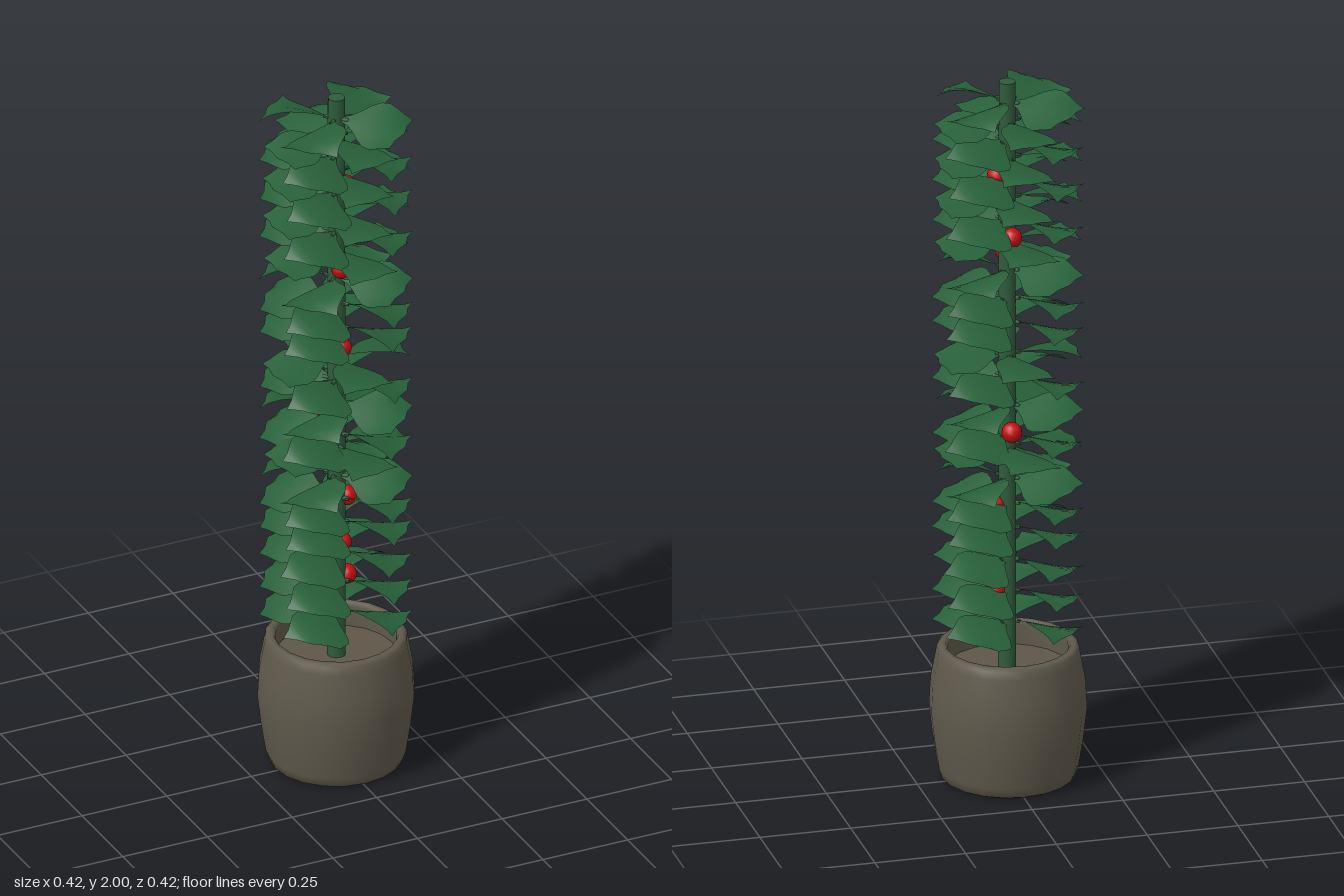
import * as THREE from 'three';

const mat = (color, extra = {}) => new THREE.MeshStandardMaterial({ color, ...extra });

// Leaf growing along +x: twisted in the middle, level square tip with three points
function leafGeometry(length, halfWidth, twist) {
  const g = new THREE.PlaneGeometry(1, 2, 8, 4);
  g.rotateX(-Math.PI / 2);
  const p = g.attributes.position;
  const outline = [0.1, 0.2, 0.4, 0.66, 0.87, 0.97, 0.95, 0.93, 1];
  for (let i = 0; i < p.count; i++) {
    const t = p.getX(i) + 0.5, s = p.getZ(i);
    const z = s * halfWidth * outline[Math.round(t * 8)];
    const isNotch = t > 0.95 && Math.abs(Math.abs(s) - 0.5) < 0.1;
    p.setXYZ(
      i,
      0.018 + length * t - 0.01 * t * s * s - (isNotch ? 0.008 : 0),
      0.006 * Math.sin(Math.PI * t) - 0.005 * t * t + twist * z * (1 - 0.95 * t ** 3) - 0.004 * t * Math.abs(s),
      z
    );
  }
  g.computeVertexNormals();
  return g;
}

export function createModel() {
  const model = new THREE.Group();
  model.name = 'pottedPlant';
  const leafMat = mat(0x28613a, { side: THREE.DoubleSide });
  const stemMat = mat(0x305c3c);
  const berryMat = mat(0xc40d12);
  const potMat = mat(0x605a4c, { side: THREE.DoubleSide });

  const add = (parent, name, geometry, material, x = 0, y = 0, z = 0) => {
    const m = new THREE.Mesh(geometry, material);
    m.name = name;
    m.position.set(x, y, z);
    parent.add(m);
    return m;
  };

  // Bulging hollow pot
  const profile = [
    [0, 0], [0.165, 0], [0.18, 0.008], [0.189, 0.035], [0.202, 0.12], [0.211, 0.2],
    [0.207, 0.28], [0.194, 0.35], [0.19, 0.372], [0.182, 0.38], [0.168, 0.38],
    [0.162, 0.37], [0.165, 0.3]
  ].map(([x, y]) => new THREE.Vector2(x, y));
  add(model, 'pot', new THREE.LatheGeometry(profile, 20), potMat);
  add(model, 'soil', new THREE.CylinderGeometry(0.168, 0.168, 0.02, 20), mat(0x5e5648), 0, 0.3, 0);

  // Upright stem
  add(model, 'stem', new THREE.CylinderGeometry(0.023, 0.025, 1.7, 12), stemMat, 0.004, 1.15, -0.006);

  // Whorls of four leaves: [height, twist direction, turned in-between whorl]
  const whorls = [
    [0.45, 1], [0.54, 1], [0.63, 1], [0.72, 1], [0.79, 1], [0.86, -1], [0.95, 1, 1], [0.985, 1],
    [1.07, -1], [1.15, 1], [1.215, 1, 1], [1.31, 1], [1.38, 1], [1.46, -1], [1.545, 1, 1],
    [1.6, 1], [1.665, 1, 1], [1.72, 1], [1.78, 1, 1], [1.83, 1], [1.885, 1, 1], [1.94, -1]
  ];
  const petiole = new THREE.CylinderGeometry(0.005, 0.006, 0.02, 6).rotateZ(-Math.PI / 2);
  whorls.forEach(([y, twist, inBetween], level) => {
    const whorl = new THREE.Group();
    whorl.name = 'leafWhorl';
    whorl.position.y = y;
    const blade = inBetween
      ? leafGeometry(0.175, 0.075, twist * 0.3)
      : leafGeometry(0.18, 0.082, twist * 0.48);
    const yaw = (inBetween ? 0.1 : Math.PI / 4) + 0.06 * Math.sin(level * 2.3);
    for (let i = 0; i < 4; i++) {
      const arm = new THREE.Group();
      arm.name = 'leafArm';
      arm.rotation.y = yaw + i * Math.PI / 2;
      add(arm, 'leaf', blade, leafMat);
      add(arm, 'petiole', petiole, stemMat, 0.026, 0, 0);
      whorl.add(arm);
    }
    model.add(whorl);
  });

  // Berries tucked against the stem
  const berry = new THREE.SphereGeometry(0.028, 12, 8);
  [
    [0.035, 0.545, -0.008], [0, 0.67, 0.033], [0.035, 0.785, -0.005], [0.005, 1.01, -0.058],
    [0, 1.26, 0.033], [0, 1.5, 0.033], [0.005, 1.57, -0.058], [0.03, 1.73, 0]
  ].forEach(([x, y, z]) => add(model, 'berry', berry, berryMat, x, y, z));

  return model;
}
